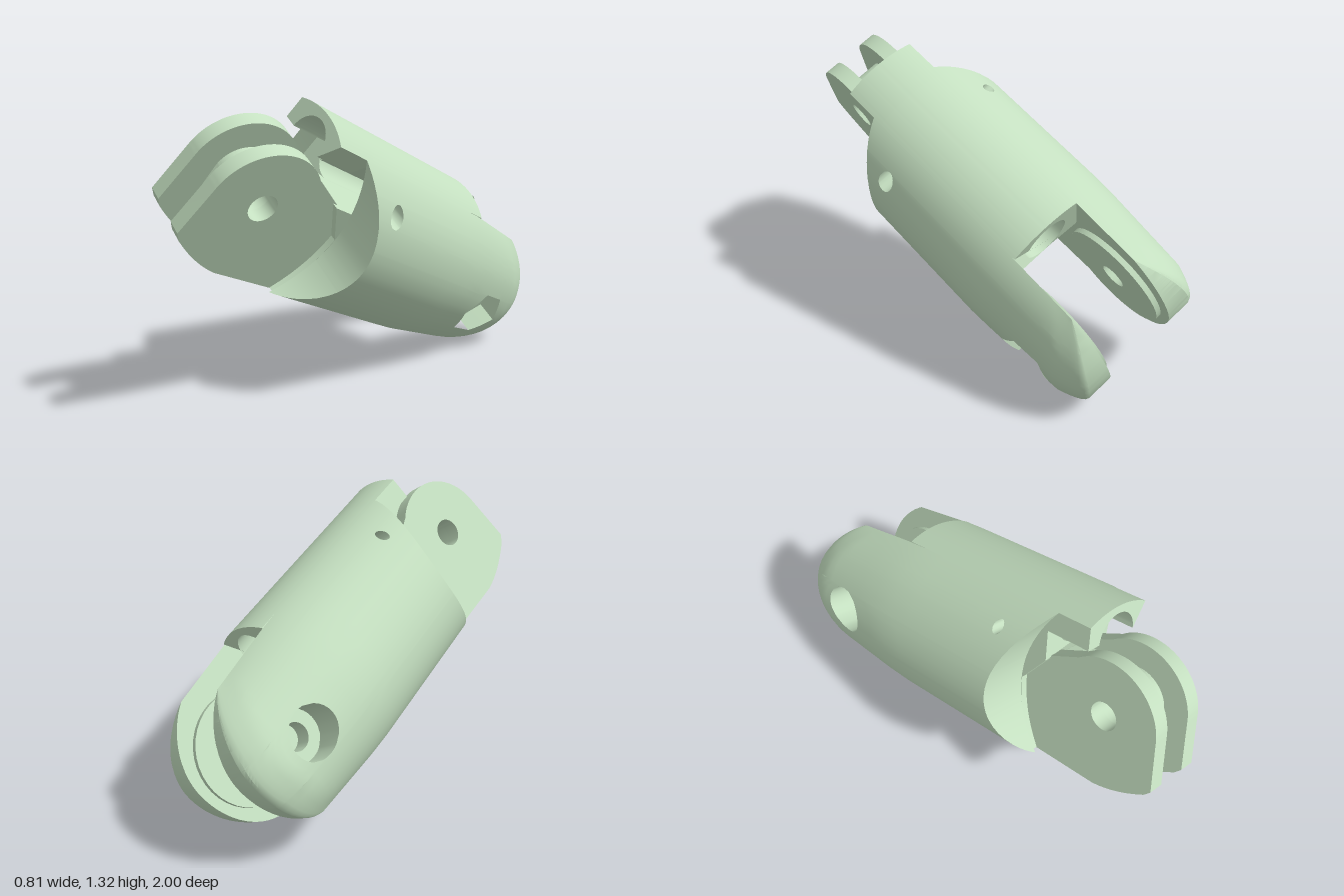
import * as THREE from 'three';
import { toCreasedNormals } from 'three/addons/utils/BufferGeometryUtils.js';

const TILT = THREE.MathUtils.degToRad(25), ROLL = THREE.MathUtils.degToRad(32);
const INNER = 0.175;                 // half width of the fork slot
const HINGE_Y = -0.02, FRONT_Z = 1.0, REAR_Z = -0.4;
const ROOF_Y = 0.12;                 // where the tunnelled roof meets the solid core

// Radius of the round body along its length, and the side wall's half height there
const radius = z => 0.405 - 0.07 * Math.max(0, -z - 0.1);
const halfHeight = z => Math.sqrt(radius(z) ** 2 - INNER ** 2);

// Outline drawn in (z, y), extruded across x from x0 to x1
function plate(shape, x0, x1) {
  const g = new THREE.ExtrudeGeometry(shape, { depth: x1 - x0, bevelEnabled: false, curveSegments: 20 });
  return g.rotateY(-Math.PI / 2).translate(x1, 0, 0);
}

function disc(z, y, r, hole) {
  const s = new THREE.Shape().absarc(z, y, r, 0, Math.PI * 2, false);
  s.holes.push(new THREE.Path().absarc(z, y, hole, 0, Math.PI * 2, true));
  return s;
}

// Curved side wall with a domed fork end, a scooped front and recesses (sorted by z)
function sideWall(side, holes) {
  const scale = 0.345, pos = [];
  const front = s => 0.575 + 0.035 * s + 0.14 * s * s;
  const rear = s => REAR_Z - 0.305 * (1 - (s * 0.96) ** 2) ** (s > 0 ? 0.57 : 0.4);
  const levels = [];
  for (let i = 0; i <= 24; i++) levels.push(Math.sin((i / 24 - 0.5) * Math.PI));
  for (const h of holes) for (let i = 0; i <= 8; i++) {
    levels.push((h.y - h.half * Math.cos(i / 8 * Math.PI)) / scale);
  }
  levels.sort((a, b) => a - b);
  const point = (s, z, outer) => {
    const y = s * halfHeight(z);
    const full = Math.sqrt(radius(z) ** 2 - y * y) - INNER;
    const dome = 0.65 + 0.35 * Math.sqrt(THREE.MathUtils.clamp((z - rear(s)) / 0.12, 0, 1));
    return [side * (INNER + (outer ? full * dome : 0)), y, z];
  };
  const quad = (a, b, c, d) => {
    const q = side > 0 ? [a, b, c, a, c, d] : [a, c, b, a, d, c];
    q.forEach(p => pos.push(...p));
  };
  // Break positions along z at one level: rear, both edges of each recess, front
  const breaks = s => {
    const list = [rear(s)];
    for (const h of holes) {
      const w = h.width(Math.min(h.half, Math.abs(s * scale - h.y)));
      list.push(h.z - w, h.z + w);
    }
    return [...list, front(s)];
  };
  for (let i = 0; i + 1 < levels.length; i++) {
    const s0 = levels[i], s1 = levels[i + 1];
    if (s1 - s0 < 1e-5) continue;
    const mid = (s0 + s1) / 2 * scale, A = breaks(s0), B = breaks(s1);
    const open = k => k % 2 === 1 && Math.abs(mid - holes[(k - 1) / 2].y) < holes[(k - 1) / 2].half;
    for (let k = 0; k + 1 < A.length; k++) {
      if (open(k) || (A[k + 1] - A[k] < 1e-6 && B[k + 1] - B[k] < 1e-6)) continue;
      const n = 8, at = (list, j) => THREE.MathUtils.lerp(list[k], list[k + 1], (j / n) ** (k ? 1 : 1.6));
      for (let j = 0; j < n; j++) {
        const a0 = at(A, j), a1 = at(A, j + 1), b0 = at(B, j), b1 = at(B, j + 1);
        quad(point(s0, a0, 1), point(s1, b0, 1), point(s1, b1, 1), point(s0, a1, 1));
        quad(point(s0, a0, 0), point(s0, a1, 0), point(s1, b1, 0), point(s1, b0, 0));
      }
      if (k + 2 === A.length || open(k + 1)) {
        quad(point(s0, A[k + 1], 0), point(s0, A[k + 1], 1), point(s1, B[k + 1], 1), point(s1, B[k + 1], 0));
      }
      if (k === 0 || open(k - 1)) {
        quad(point(s0, A[k], 0), point(s1, B[k], 0), point(s1, B[k], 1), point(s0, A[k], 1));
      }
    }
  }
  const g = new THREE.BufferGeometry();
  g.setAttribute('position', new THREE.Float32BufferAttribute(pos, 3));
  return g;
}

// Middle of the body: flat underside, hollowed towards both hinges
function coreGeometry() {
  const s = new THREE.Shape();
  s.moveTo(0, -0.362);
  s.lineTo(0.66, -0.362);
  s.quadraticCurveTo(0.57, -0.2, 0.575, HINGE_Y);
  s.lineTo(0.70, ROOF_Y);
  s.lineTo(-0.137, ROOF_Y);
  s.quadraticCurveTo(-0.08, 0, 0, -0.362);
  return plate(s, -INNER, INNER);
}

// Cross-section of the roof in (x, y): round on top, down to the given height
function roofShape(bottom) {
  const r = radius(0), a = Math.acos(INNER / r);
  const s = new THREE.Shape();
  s.moveTo(INNER, bottom);
  s.absarc(0, 0, r, a, Math.PI - a, false);
  s.lineTo(-INNER, bottom);
  return s;
}

// Tongue outline: round top about the hinge flaring into the body, nose, cut lower corner
function tongueShape(r, nose) {
  const s = new THREE.Shape();
  s.moveTo(0.55, -0.362);
  s.lineTo(0.98, -0.372);
  s.quadraticCurveTo(1.10, -0.36, nose - 0.03, -0.28);
  s.lineTo(nose, -0.25);
  s.lineTo(FRONT_Z + r, HINGE_Y);
  s.absarc(FRONT_Z, HINGE_Y, r, 0, Math.PI * 0.7, false);
  s.lineTo(0.66, 0.115);
  s.lineTo(0.55, 0.05);
  s.closePath();
  s.holes.push(new THREE.Path().absarc(FRONT_Z, HINGE_Y, 0.065, 0, Math.PI * 2, true));
  return s;
}

export function createModel() {
  const green = new THREE.MeshStandardMaterial({ color: 0xc4dfc0 });
  green.name = 'paleGreen';
  const model = new THREE.Group();
  model.name = 'fingerSegment';
  const add = (name, geometry) => {
    const m = new THREE.Mesh(toCreasedNormals(geometry, 0.45), green);
    m.name = name;
    model.add(m);
  };
  const along = (shape, z0, z1) => new THREE.ExtrudeGeometry(shape,
    { depth: z1 - z0, bevelEnabled: false, curveSegments: 20 }).translate(0, 0, z0);

  add('bodyCore', coreGeometry());

  // Roof with a cord tunnel, and the stop lip that continues it as an open arch
  const roof = roofShape(ROOF_Y);
  roof.holes.push(new THREE.Path().absarc(0, 0.262, 0.108, 0, Math.PI * 2, true));
  add('tunnelRoof', along(roof, -0.144, 0.70));
  const lip = roofShape(0.262);
  lip.lineTo(-0.108, 0.262);
  lip.absarc(0, 0.262, 0.108, Math.PI, 0, true);
  lip.closePath();
  add('stopLip', along(lip, 0.70, 0.915));

  // Side walls: hexagonal nut recess on one side, round bolt recess on the other
  const round = (z, y, r) => ({ z, y, half: r, width: d => Math.sqrt(Math.max(0, r * r - d * d)) });
  const hex = (z, y, r) => ({ z, y, half: r * 0.866, width: d => r - d / Math.sqrt(3) });
  add('leftWall', sideWall(1, [hex(REAR_Z, HINGE_Y, 0.135), round(0.535, 0.235, 0.04)]));
  add('rightWall', sideWall(-1, [round(REAR_Z, HINGE_Y, 0.115), round(0.545, 0.25, 0.025)]));

  // Recess floors and raised washers on the inside of the fork, plates of the tongue
  for (const side of [1, -1]) {
    const name = side > 0 ? 'left' : 'right';
    const across = (shape, a, b) => side > 0 ? plate(shape, a, b) : plate(shape, -b, -a);
    add(name + 'RecessFloor', across(disc(REAR_Z, HINGE_Y, 0.137, 0.06), 0.155, side > 0 ? 0.265 : 0.235));
    add(name + 'ForkWasher', across(disc(REAR_Z, HINGE_Y, 0.26, 0.06), 0.15, INNER + 0.004));
    add(name + 'TonguePlate', across(tongueShape(0.26, 1.27), 0.07, 0.143));
  }

  // Narrower middle leaves a cord groove between the tongue plates
  add('tongueCore', plate(tongueShape(0.145, 1.13), -0.071, 0.071));

  model.rotation.set(-TILT, 0, -ROLL);
  model.position.set(0, 0.584, -0.273);
  const root = new THREE.Group();
  root.name = 'model';
  root.add(model);
  return root;
}
